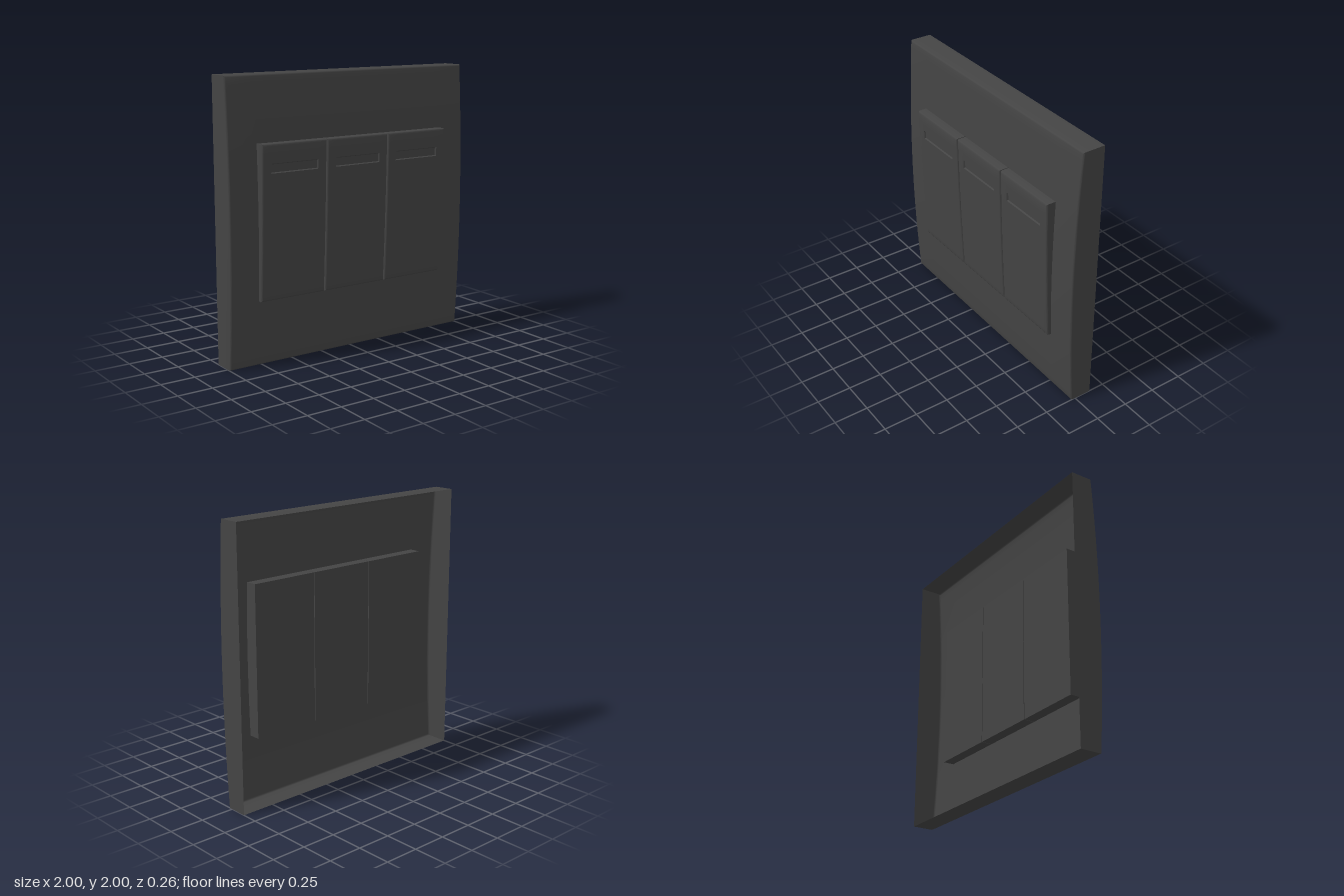
import * as THREE from 'three';
import { toCreasedNormals } from 'three/addons/utils/BufferGeometryUtils.js';

const BEVEL = 0.012;
const material = new THREE.MeshStandardMaterial({ color: 0x444444, side: THREE.DoubleSide });

// grid stops from lo to hi: doubled outer stop for the side wall, rounded edge, then the inner stops
function stops(lo, hi, inner) {
  const d = [0, 0, 0.15 * BEVEL, 0.5 * BEVEL, BEVEL];
  return [...d.map(v => lo + v), ...inner, ...d.map(v => hi - v).reverse()];
}

// front sheet with rounded edges whose outer ring folds back to zBack
function shell(xs, ys, zBack, front, isOpen = () => false) {
  const nx = xs.length, ny = ys.length, pos = [], index = [];
  for (let j = 0; j < ny; j++) {
    for (let i = 0; i < nx; i++) {
      const x = xs[i], y = ys[j];
      const ring = i === 0 || j === 0 || i === nx - 1 || j === ny - 1;
      const d = Math.min(x - xs[0], xs[nx - 1] - x, y - ys[0], ys[ny - 1] - y);
      const k = Math.max(0, BEVEL - d);
      const drop = BEVEL - Math.sqrt(Math.max(0, BEVEL * BEVEL - k * k));
      pos.push(x, y, ring ? zBack : front(x, y) - drop);
    }
  }
  for (let j = 0; j < ny - 1; j++) {
    for (let i = 0; i < nx - 1; i++) {
      const corner = (i === 0 || i === nx - 2) && (j === 0 || j === ny - 2);
      if (corner || isOpen((xs[i] + xs[i + 1]) / 2, (ys[j] + ys[j + 1]) / 2)) continue;
      const a = j * nx + i, b = a + 1, c = b + nx, d = a + nx;
      index.push(a, b, c, a, c, d);
    }
  }
  const g = new THREE.BufferGeometry();
  g.setAttribute('position', new THREE.Float32BufferAttribute(pos, 3));
  g.setIndex(index);
  return toCreasedNormals(g, 0.6);
}

function range(lo, hi, n) {
  return Array.from({ length: n + 1 }, (_, i) => lo + (hi - lo) * i / n);
}

function add(parent, name, geometry) {
  const mesh = new THREE.Mesh(geometry, material);
  mesh.name = name;
  parent.add(mesh);
  return mesh;
}

export function createModel() {
  const model = new THREE.Group();
  model.name = 'wallSwitch';
  const yLo = 0.46, yHi = 1.545, halfW = 0.78, zBack = -0.02;

  // bowed cover plate, hollow behind, with an opening for the rockers
  const plateYs = stops(0, 2, [...range(0.06, yLo, 6), ...range(yLo, yHi, 12).slice(1), ...range(yHi, 1.94, 6).slice(1)]);
  const bow = (x, y) => 0.035 + 0.038 * (1 - (y - 1) ** 2);
  const inOpening = (x, y) => Math.abs(x) < halfW && y > yLo && y < yHi;
  add(model, 'coverPlate', shell(stops(-1, 1, [-halfW, halfW]), plateYs, -0.13, bow, inOpening));

  // three tilted rockers, each with a shallow indicator slot
  const w = 0.257, slotX = 0.187, slotLo = 1.345, slotHi = 1.412, e = 0.006;
  const rockerXs = stops(-w, w, [-slotX, -slotX + e, slotX - e, slotX]);
  const rockerYs = stops(yLo, yHi, [...range(0.5, 1.3, 10), slotLo, slotLo + e, slotHi - e, slotHi, 1.47]);
  const tilt = (x, y) => {
    const t = (y - yLo) / (yHi - yLo);
    const inSlot = Math.abs(x) < slotX - e / 2 && y > slotLo + e / 2 && y < slotHi - e / 2;
    return 0.09 + 0.04 * t + 0.02 * t * (1 - t) - (inSlot ? 0.01 : 0);
  };
  const rockerGeometry = shell(rockerXs, rockerYs, zBack, tilt);
  const backGeometry = new THREE.PlaneGeometry(2 * w, yHi - yLo);
  for (let i = -1; i <= 1; i++) {
    const rocker = new THREE.Group();
    rocker.name = ['rightRocker', 'middleRocker', 'leftRocker'][i + 1];
    rocker.position.x = i * 0.52;
    add(rocker, 'rockerFront', rockerGeometry);
    const back = add(rocker, 'rockerBack', backGeometry);
    back.position.set(0, (yLo + yHi) / 2, zBack);
    back.rotation.y = Math.PI;
    model.add(rocker);
  }
  return model;
}
